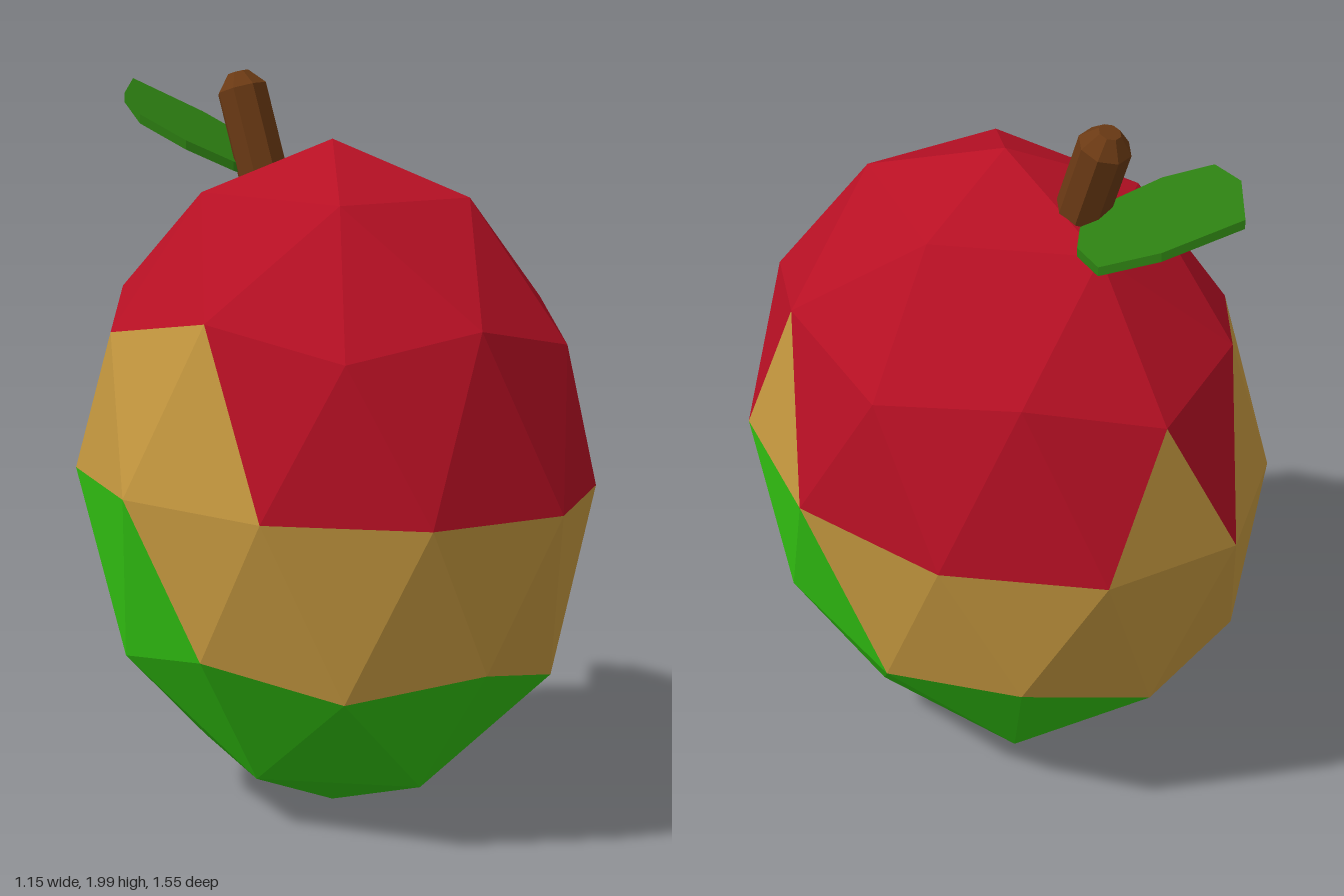
import * as THREE from 'three';

const mat = (color, extra = {}) => new THREE.MeshStandardMaterial({ color, flatShading: true, ...extra });

function addMesh(parent, name, geometry, material) {
  const mesh = new THREE.Mesh(geometry, material);
  mesh.name = name;
  parent.add(mesh);
  return mesh;
}

// Which patch of skin a facet belongs to. The two bands of facets beside
// the equator are numbered in 18 degree slots around the fruit.
const RIPE_GOLD_SLOTS = [2, 10, 11, 12, 13, 14, 16];
const UNRIPE_GREEN_SLOTS = [1, 2, 11, 12, 13];

function patchOf(c) {
  const slot = (Math.round(Math.atan2(c.z, c.x) / (Math.PI / 10)) + 20) % 20;
  if (c.y > 0) return c.y < 0.45 && RIPE_GOLD_SLOTS.includes(slot) ? 'gold' : 'red';
  return c.y < -0.45 || UNRIPE_GREEN_SLOTS.includes(slot) ? 'green' : 'gold';
}

// Faceted ellipsoid with a vertex at each pole, split into coloured skins
function createFruit() {
  const fruit = new THREE.Group();
  fruit.name = 'fruit';
  const ball = new THREE.IcosahedronGeometry(1, 1);
  ball.rotateZ(-Math.atan(2 / (1 + Math.sqrt(5))));
  const pos = ball.attributes.position;
  const patches = { red: [], gold: [], green: [] };
  for (let i = 0; i < pos.count; i += 3) {
    const corners = [0, 1, 2].map(k => new THREE.Vector3().fromBufferAttribute(pos, i + k));
    const centre = new THREE.Vector3();
    corners.forEach(v => centre.addScaledVector(v, 1 / 3));
    const list = patches[patchOf(centre)];
    corners.forEach(v => list.push(v.x * 0.605, 0.92 + v.y * 0.91, 0.015 + v.z * 0.76));
  }
  const colors = { red: 0xb81024, gold: 0xc89a40, green: 0x32c412 };
  for (const [key, list] of Object.entries(patches)) {
    const g = new THREE.BufferGeometry();
    g.setAttribute('position', new THREE.Float32BufferAttribute(list, 3));
    g.computeVertexNormals();
    addMesh(fruit, key + 'Skin', g, mat(colors[key]));
  }
  return fruit;
}

// Eight-sided stem with a bevelled tip, leaning back
function createStem(parent) {
  const profile = [[0, -0.05], [0.07, -0.05], [0.07, 0.22], [0.03, 0.265], [0, 0.265]]
    .map(([r, y]) => new THREE.Vector2(r, y));
  const stem = addMesh(parent, 'stem', new THREE.LatheGeometry(profile, 8, Math.PI / 8), mat(0x6b3a14));
  stem.position.set(0, 1.735, -0.232);
  stem.rotation.x = -THREE.MathUtils.degToRad(18);
}

// Thin leaf: outline seen from above, laid on a sloping plane
function createLeaf(parent) {
  const outline = [
    [0.06, 0.27], [0.15, 0.33], [0.245, 0.465], [0.2, 0.62], [0.08, 0.775],
    [-0.1, 0.64], [-0.19, 0.5], [-0.15, 0.37], [-0.06, 0.28], [0, 0.25],
  ].map(([x, y]) => new THREE.Vector2(x, y));
  const g = new THREE.ExtrudeGeometry(new THREE.Shape(outline), { depth: 0.025, bevelEnabled: false });
  g.rotateX(-Math.PI / 2);
  const p = g.attributes.position;
  for (let i = 0; i < p.count; i++) {
    p.setY(i, p.getY(i) + 1.594 - 0.206 * p.getX(i) - 0.439 * p.getZ(i));
  }
  g.computeVertexNormals();
  addMesh(parent, 'leaf', g, mat(0x2d8012, { side: THREE.DoubleSide }));
}

export function createModel() {
  const model = new THREE.Group();
  model.name = 'fruitWithLeaf';
  model.add(createFruit());
  createStem(model);
  createLeaf(model);
  return model;
}
